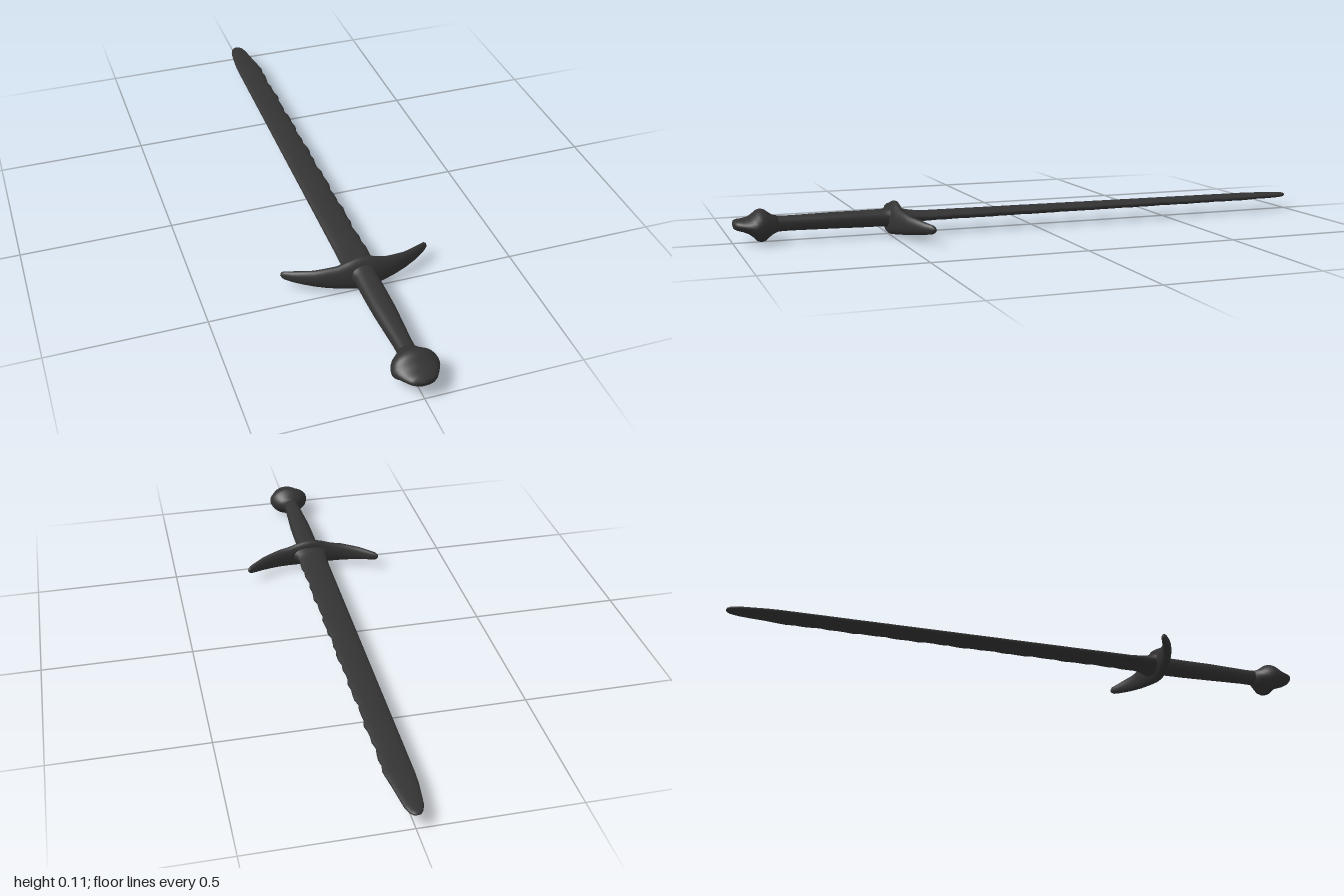
import * as THREE from 'three';

// Smooth skin over elliptical sections [z, centreX, centreY, radiusX, radiusY], ordered by rising z.
// power < 1 squares the section off, power > 1 sharpens its edges; shear leans z with height.
function loft(sections, { sides = 32, power = 1, shear = 0 } = {}) {
  const positions = [], index = [];
  const bend = (v) => Math.sign(v) * Math.abs(v) ** power;
  sections.forEach(([z, cx, cy, rx, ry], i) => {
    for (let j = 0; j < sides; j++) {
      const a = (j / sides) * Math.PI * 2;
      const y = bend(Math.sin(a)) * ry;
      positions.push(cx + bend(Math.cos(a)) * rx, cy + y, z + y * shear);
      if (i === sections.length - 1) continue;
      const k = (j + 1) % sides, p = i * sides, q = p + sides;
      index.push(p + j, p + k, q + k, p + j, q + k, q + j);
    }
  });
  const geometry = new THREE.BufferGeometry();
  geometry.setAttribute('position', new THREE.Float32BufferAttribute(positions, 3));
  geometry.setIndex(index);
  geometry.computeVertexNormals();
  return geometry;
}

export function createModel() {
  const model = new THREE.Group();
  model.name = 'sword';
  const iron = new THREE.MeshStandardMaterial({ color: 0x333333 });
  iron.name = 'dark iron';
  const add = (name, geometry) => {
    const mesh = new THREE.Mesh(geometry, iron);
    mesh.name = name;
    model.add(mesh);
    return mesh;
  };

  // Blade: rounded tip, slightly worn edges, flared root
  const blade = [
    [-1, -0.003, 0.054, 0, 0], [-0.996, -0.003, 0.054, 0.012, 0.005],
    [-0.985, -0.003, 0.054, 0.021, 0.008], [-0.96, -0.003, 0.054, 0.029, 0.009],
    [-0.92, -0.003, 0.054, 0.034, 0.01], [-0.87, -0.002, 0.055, 0.04, 0.01],
  ];
  const steps = 44;
  for (let i = 0; i <= steps; i++) {
    const t = i / steps;
    const wear = 0.0015 * Math.sin(i * 2.3) + 0.001 * Math.sin(i * 0.9);
    blade.push([-0.83 + t * 1.2, wear, 0.055 + t * 0.002, 0.044 + t * 0.006 + wear, 0.011 + t * 0.004]);
  }
  blade.push([0.42, 0, 0.058, 0.051, 0.018], [0.445, 0, 0.058, 0.055, 0.024],
    [0.46, 0, 0.058, 0.064, 0.03], [0.48, 0, 0.058, 0.075, 0.034], [0.485, 0, 0.058, 0, 0]);
  add('blade', loft(blade, { power: 0.9 }));

  // Grip: tapers towards the pommel
  add('grip', loft([
    [0.475, 0, 0.058, 0, 0], [0.48, 0, 0.058, 0.05, 0.036], [0.5, 0, 0.058, 0.042, 0.032],
    [0.52, 0, 0.058, 0.037, 0.028], [0.6, 0, 0.058, 0.037, 0.027], [0.68, 0, 0.059, 0.036, 0.026],
    [0.75, 0, 0.059, 0.032, 0.025], [0.82, 0, 0.059, 0.028, 0.024], [0.87, 0, 0.059, 0.027, 0.025],
    [0.9, 0, 0.059, 0.03, 0.028], [0.905, 0, 0.059, 0, 0],
  ], { power: 0.85 }));

  // Pommel: round collar that narrows to a flat wedge
  add('pommel', loft([
    [0.855, 0, 0.059, 0, 0], [0.86, 0, 0.059, 0.03, 0.026], [0.875, 0, 0.058, 0.047, 0.031],
    [0.888, 0, 0.058, 0.059, 0.04], [0.9, 0, 0.057, 0.067, 0.05], [0.912, 0, 0.057, 0.071, 0.053],
    [0.924, 0, 0.057, 0.073, 0.049], [0.936, 0, 0.058, 0.071, 0.037], [0.95, 0, 0.059, 0.064, 0.027],
    [0.968, 0, 0.061, 0.054, 0.021], [0.985, 0, 0.063, 0.043, 0.018], [0.995, 0, 0.064, 0.032, 0.014],
    [1, 0, 0.064, 0, 0],
  ]));

  // Crossguard: one half listed from tip to middle, mirrored, swept towards the blade
  const half = [
    // x, z, y, half depth, half height
    [0.245, 0.411, 0.05, 0, 0], [0.242, 0.412, 0.05, 0.007, 0.008], [0.234, 0.416, 0.05, 0.011, 0.014],
    [0.215, 0.428, 0.05, 0.014, 0.018], [0.185, 0.445, 0.051, 0.016, 0.024],
    [0.15, 0.461, 0.051, 0.017, 0.029], [0.115, 0.472, 0.052, 0.018, 0.035],
    [0.08, 0.479, 0.052, 0.02, 0.039], [0.05, 0.483, 0.055, 0.021, 0.046], [0.025, 0.485, 0.057, 0.022, 0.051],
  ];
  const section = (side) => ([x, z, y, depth, height]) => [side * x, -z, y, depth, height];
  const guard = [
    ...half.map(section(-1)),
    [0, -0.485, 0.058, 0.022, 0.053],
    ...half.map(section(1)).reverse(),
  ];
  const crossguard = loft(guard);
  crossguard.rotateY(Math.PI / 2);
  // Lean the tall middle so its crest sits nearer the blade
  const p = crossguard.attributes.position;
  for (let i = 0; i < p.count; i++) {
    const lean = 0.2 * Math.max(0, 1 - Math.abs(p.getX(i)) / 0.15);
    p.setZ(i, p.getZ(i) - lean * (p.getY(i) - 0.055));
  }
  crossguard.computeVertexNormals();
  add('crossguard', crossguard);

  return model;
}
